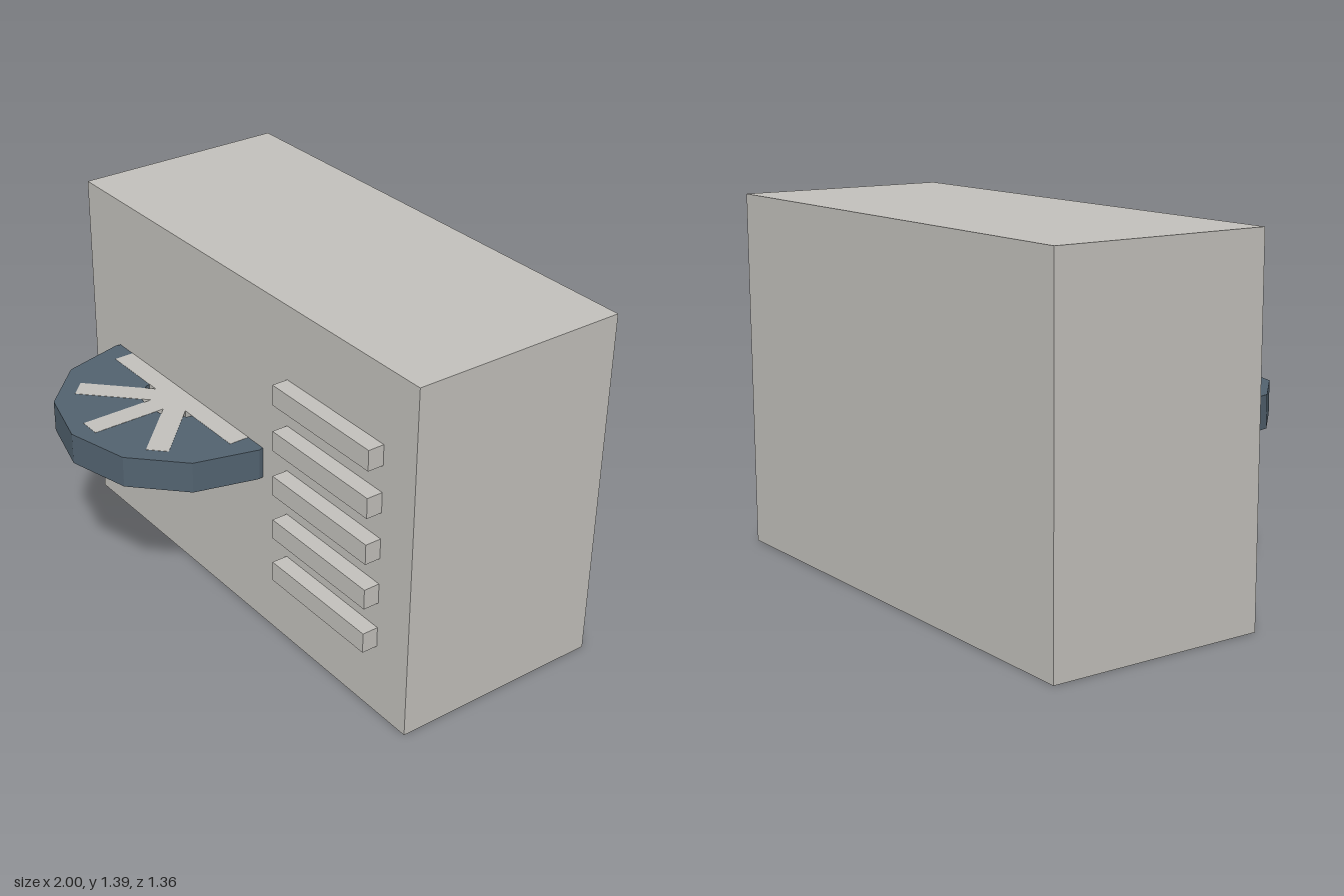
import * as THREE from 'three';

export function createModel() {
  const group = new THREE.Group();
  const casing = new THREE.MeshStandardMaterial({ color: 0xc2c0bb });
  casing.name = 'casing grey';
  const slate = new THREE.MeshStandardMaterial({ color: 0x52626f });
  slate.name = 'slate blue';

  const add = (name, geometry, material, x, y, z, parent = group) => {
    const mesh = new THREE.Mesh(geometry, material);
    mesh.name = name;
    mesh.position.set(x, y, z);
    parent.add(mesh);
    return mesh;
  };

  const midY = 0.695;

  // Main housing
  add('housing', new THREE.BoxGeometry(2, 1.39, 0.856), casing, 0, midY, -0.256);

  // Horizontal vent slats on the front
  const slat = new THREE.BoxGeometry(0.53, 0.08, 0.084);
  for (let i = -2; i <= 2; i++) {
    add('ventSlat', slat, casing, 0.57, midY + i * 0.1845, 0.193);
  }

  // Fan lying flat, half sunk into the housing
  const fan = new THREE.Group();
  fan.name = 'fan';
  fan.position.set(-0.327, midY, 0.19);
  group.add(fan);

  // Twelve-sided ring with a rectangular section
  const h = 0.0615;
  const profile = [[0.163, -h], [0.49, -h], [0.49, h], [0.163, h], [0.163, -h]]
    .map(([r, y]) => new THREE.Vector2(r, y));
  const ring = new THREE.LatheGeometry(profile, 12).toNonIndexed();
  ring.computeVertexNormals();
  add('fanRing', ring, slate, 0, 0, 0, fan);

  // Four crossing bars form eight blades
  const blade = new THREE.BoxGeometry(0.79, 2 * h + 0.002, 0.084);
  for (let i = 0; i < 4; i++) {
    add('fanBlade', blade, casing, 0, 0, 0.02, fan).rotation.y = i * Math.PI / 4;
  }

  return group;
}
